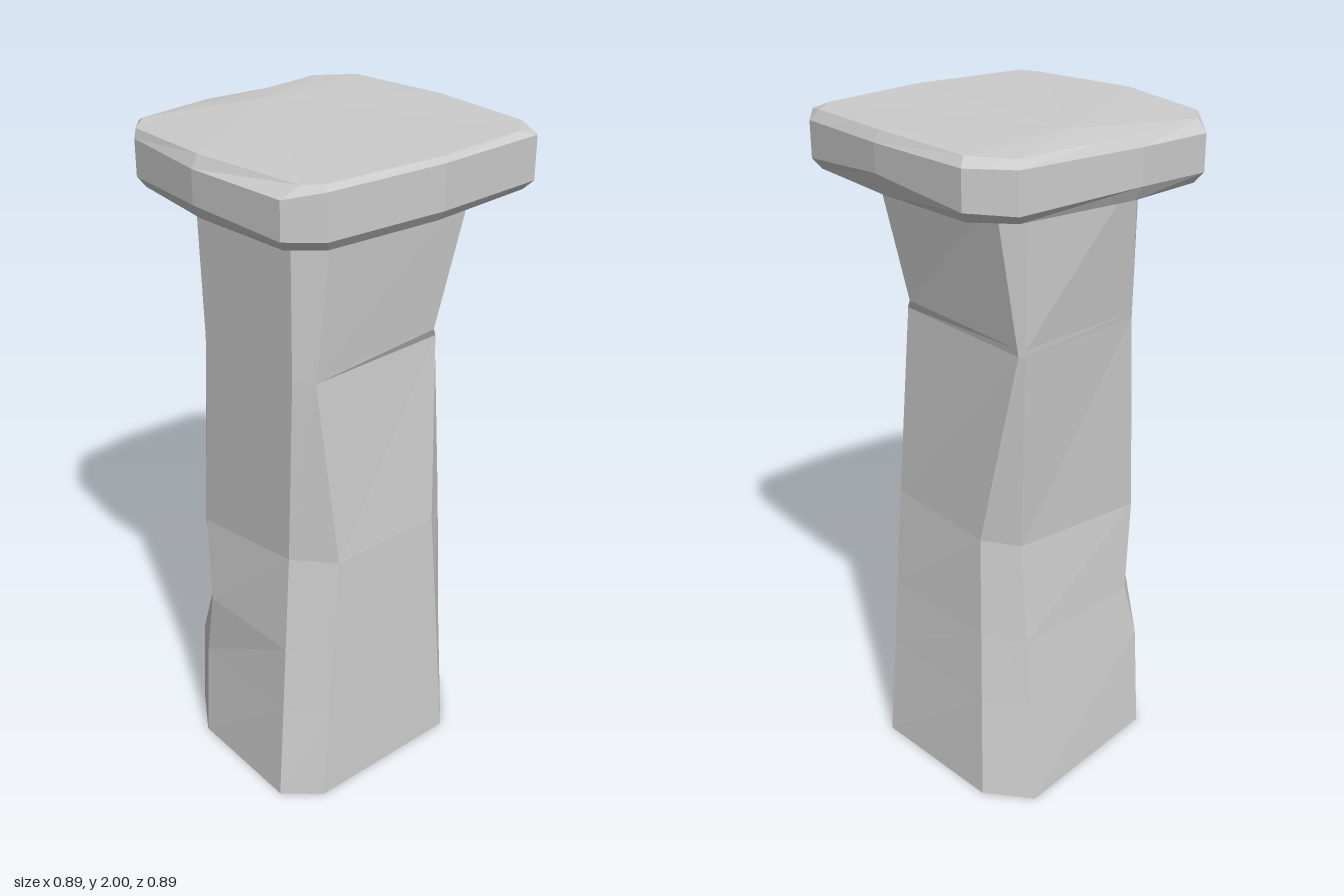
import * as THREE from 'three';

const stone = new THREE.MeshStandardMaterial({ color: 0xcccccc, flatShading: true, side: THREE.DoubleSide });

// Ring of [x, y, z] points from flat x,z pairs; y is a number or one height per point.
// Rings run front -> +x side -> back -> -x side.
function ring(y, xz) {
  const points = [];
  for (let i = 0; i < xz.length / 2; i++) {
    points.push([xz[2 * i], Array.isArray(y) ? y[i] : y, xz[2 * i + 1]]);
  }
  return points;
}

// In-between ring, with chipped points replaced
function between(a, b, t, edits) {
  return a.map((p, i) => edits[i] || p.map((v, k) => v + (b[i][k] - v) * t));
}

// Joins rings from bottom to top; end points, if given, close the two ends
function loft(name, rings, ends) {
  const pos = [];
  const tri = (...points) => points.forEach((p) => pos.push(...p));
  const n = rings[0].length;
  for (let r = 0; r < rings.length - 1; r++) {
    const a = rings[r], b = rings[r + 1];
    for (let i = 0; i < n; i++) {
      const j = (i + 1) % n;
      tri(a[i], a[j], b[j]);
      tri(a[i], b[j], b[i]);
    }
  }
  if (ends) {
    const low = rings[0], high = rings[rings.length - 1];
    for (let i = 0; i < n; i++) {
      const j = (i + 1) % n;
      tri(ends[0], low[j], low[i]);
      tri(ends[1], high[i], high[j]);
    }
  }
  const geometry = new THREE.BufferGeometry();
  geometry.setAttribute('position', new THREE.Float32BufferAttribute(pos, 3));
  geometry.computeVertexNormals();
  const mesh = new THREE.Mesh(geometry, stone);
  mesh.name = name;
  return mesh;
}

function createShaft() {
  // Uneven square post with chamfered corners, open at the foot
  const foot = ring(0, [0.23, 0.33, 0.38, 0.17, 0.34, -0.27, 0.23, -0.39,
    -0.28, -0.29, -0.37, -0.15, -0.38, 0.24, -0.28, 0.33]);
  const waist = ring([0.82, 0.82, 0.82, 0.82, 0.765, 0.765, 0.82, 0.82],
    [0.165, 0.31, 0.27, 0.23, 0.262, -0.17, 0.19, -0.27,
      -0.30, -0.202, -0.302, -0.196, -0.30, 0.20, -0.205, 0.31]);
  const neck = ring([1.40, 1.40, 1.42, 1.42, 1.40, 1.40, 1.40, 1.40],
    [0.198, 0.26, 0.205, 0.25, 0.217, -0.29, 0.205, -0.305,
      -0.25, -0.225, -0.305, -0.155, -0.305, 0.23, -0.26, 0.275]);
  const top = ring(1.85, [0.26, 0.315, 0.272, 0.30, 0.255, -0.24, 0.20, -0.31,
    -0.20, -0.28, -0.305, -0.175, -0.305, 0.23, -0.235, 0.31]);

  // Chips in the back corner and a notch in the front corner
  const lowChip = between(foot, waist, 0.38, { 4: [-0.29, 0.32, -0.255], 5: [-0.335, 0.30, -0.175] });
  const highChip = between(foot, waist, 0.63, { 4: [-0.255, 0.495, -0.235], 5: [-0.335, 0.515, -0.14] });
  const notch = between(neck, top, 0.05, { 0: [0.175, 1.43, 0.275], 1: [0.215, 1.43, 0.225] });

  return loft('shaft', [foot, lowChip, highChip, waist, neck, notch, top]);
}

function createCap() {
  // Worn slab: four cut corners and a slight bulge along each side
  const outline = [0.02, 0.445, 0.385, 0.42, 0.435, 0.355, 0.445, 0.02, 0.42, -0.325, 0.32, -0.425,
    -0.06, -0.448, -0.31, -0.42, -0.415, -0.285, -0.45, 0.02, -0.43, 0.345, -0.345, 0.42];
  const topOutline = [0.02, 0.432, 0.335, 0.40, 0.415, 0.335, 0.425, 0.02, 0.40, -0.31, 0.305, -0.40,
    0.02, -0.38, -0.335, -0.36, -0.405, -0.29, -0.43, 0.02, -0.38, 0.36, -0.34, 0.405];

  const underside = ring(1.83, outline.map((v) => v * 0.95));
  const lowerEdge = ring([1.86, 1.855, 1.86, 1.89, 1.86, 1.855, 1.87, 1.86, 1.86, 1.87, 1.86, 1.86], outline);
  const upperEdge = ring([1.985, 1.98, 1.965, 1.97, 1.97, 1.97, 1.972, 1.965, 1.965, 1.965, 1.965, 1.985], outline);
  const topEdge = ring([2, 1.995, 1.995, 2, 1.995, 1.99, 1.985, 1.99, 1.99, 2, 1.995, 2], topOutline);
  // The top falls away slightly behind its highest point
  return loft('cap', [underside, lowerEdge, upperEdge, topEdge], [[0, 1.83, 0], [0.04, 2, -0.27]]);
}

export function createModel() {
  const model = new THREE.Group();
  model.name = 'stonePost';
  model.add(createShaft(), createCap());
  return model;
}
